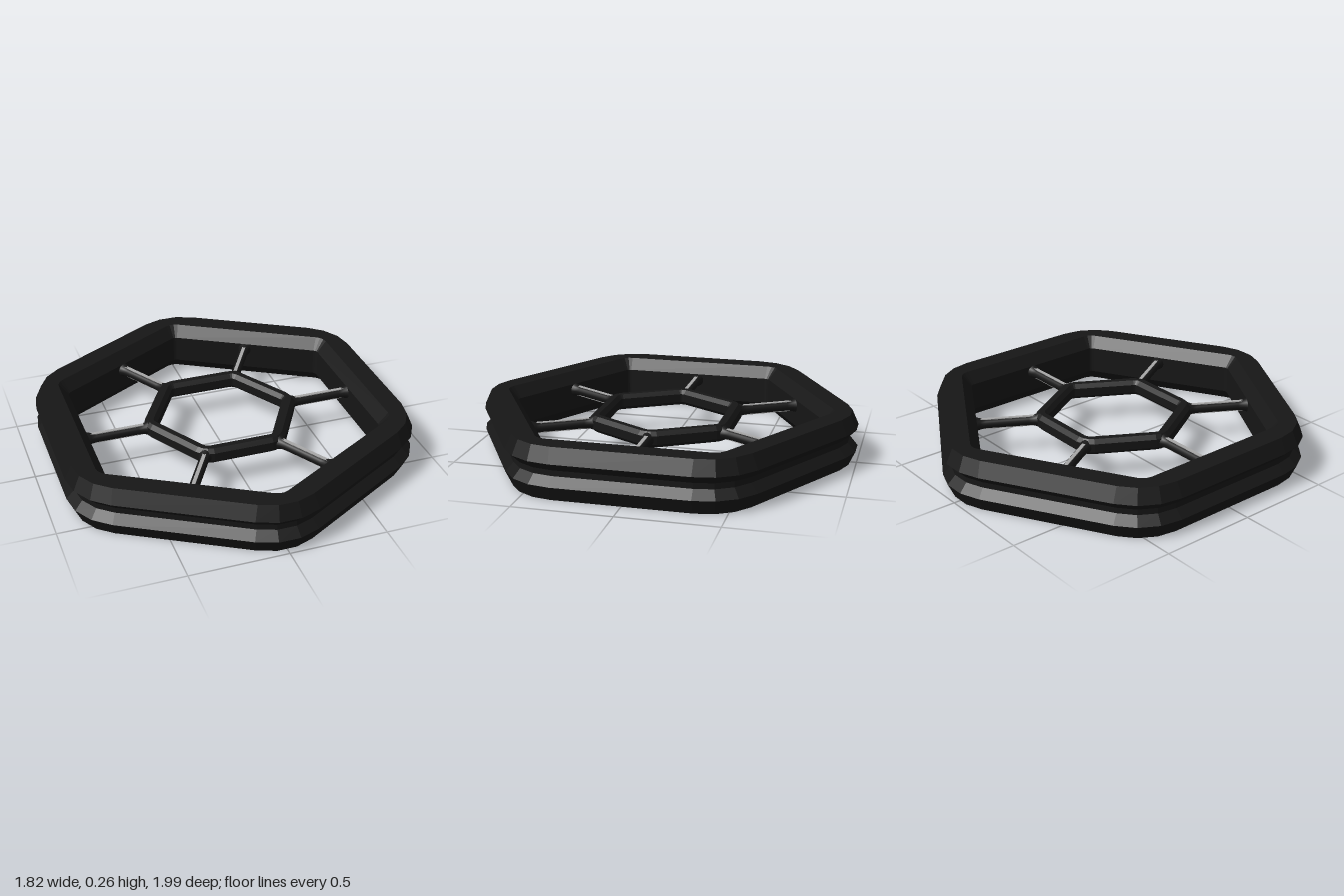
import * as THREE from 'three';

const dark = new THREE.MeshStandardMaterial({ color: 0x161616, flatShading: true });
const darkSmooth = new THREE.MeshStandardMaterial({ color: 0x161616 });
const pale = new THREE.MeshStandardMaterial({ color: 0xa8a8a8 });

// Sweep a closed profile of [apothem, height, corner radius] round a hexagon.
// The profile runs upwards on its outer side.
function hexRing(name, profile, firstCorner, steps) {
  const positions = [];
  const index = [];
  const rows = 6 * (steps + 1);
  const n = profile.length;
  for (let corner = 0; corner < 6; corner++) {
    const mid = firstCorner + corner * Math.PI / 3;
    for (let s = 0; s <= steps; s++) {
      const turn = mid + (s / steps - 0.5) * Math.PI / 3;
      for (const [apothem, y, radius] of profile) {
        const centre = (apothem - radius) / Math.cos(Math.PI / 6);
        positions.push(
          centre * Math.cos(mid) + radius * Math.cos(turn), y,
          centre * Math.sin(mid) + radius * Math.sin(turn));
      }
    }
  }
  for (let i = 0; i < rows; i++) {
    for (let j = 0; j < n; j++) {
      const a = i * n + j;
      const b = i * n + (j + 1) % n;
      const c = ((i + 1) % rows) * n + j;
      const d = ((i + 1) % rows) * n + (j + 1) % n;
      index.push(a, b, c, b, d, c);
    }
  }
  const geometry = new THREE.BufferGeometry();
  geometry.setAttribute('position', new THREE.Float32BufferAttribute(positions, 3));
  geometry.setIndex(index);
  geometry.computeVertexNormals();
  const mesh = new THREE.Mesh(geometry, dark);
  mesh.name = name;
  return mesh;
}

export function createModel() {
  const model = new THREE.Group();
  model.name = 'hexagonalFrame';

  // Heavy outer rim with bevelled edges and a groove round the outside
  model.add(hexRing('outerRim', [
    [0.77, 0, 0.07], [0.875, 0, 0.28], [0.91, 0.075, 0.32], [0.868, 0.118, 0.28],
    [0.868, 0.147, 0.28], [0.91, 0.19, 0.32], [0.875, 0.265, 0.28], [0.77, 0.265, 0.07],
    [0.72, 0.205, 0.03], [0.72, 0.06, 0.03],
  ], Math.PI / 6, 3));

  // Slim inner ring, turned so its corners meet the spokes
  const mid = 0.17;
  model.add(hexRing('innerRing', [
    [0.32, mid - 0.042, 0.04], [0.35, mid - 0.042, 0.08], [0.37, mid - 0.022, 0.1],
    [0.37, mid + 0.022, 0.1], [0.35, mid + 0.042, 0.08], [0.32, mid + 0.042, 0.04],
    [0.3, mid + 0.022, 0.02], [0.3, mid - 0.022, 0.02],
  ], 0, 3));

  // Six round spokes, flared at both ends, with pale strips above and below
  const rodProfile = [
    [0.042, 0.375], [0.036, 0.4], [0.028, 0.42], [0.025, 0.45],
    [0.025, 0.67], [0.029, 0.7], [0.038, 0.725],
  ].map(([r, along]) => new THREE.Vector2(r, along));
  const rodGeometry = new THREE.LatheGeometry(rodProfile, 16).rotateZ(-Math.PI / 2);
  const stripGeometry = new THREE.BoxGeometry(0.29, 0.006, 0.018);
  for (let i = 0; i < 6; i++) {
    const spoke = new THREE.Group();
    spoke.name = 'spoke' + (i + 1);
    const rod = new THREE.Mesh(rodGeometry, darkSmooth);
    rod.name = 'spokeRod';
    spoke.add(rod);
    for (const side of [1, -1]) {
      const strip = new THREE.Mesh(stripGeometry, pale);
      strip.name = side > 0 ? 'upperStrip' : 'lowerStrip';
      strip.position.set(0.56, side * 0.0245, 0);
      spoke.add(strip);
    }
    spoke.position.y = mid;
    spoke.rotation.y = i * Math.PI / 3;
    model.add(spoke);
  }
  return model;
}
